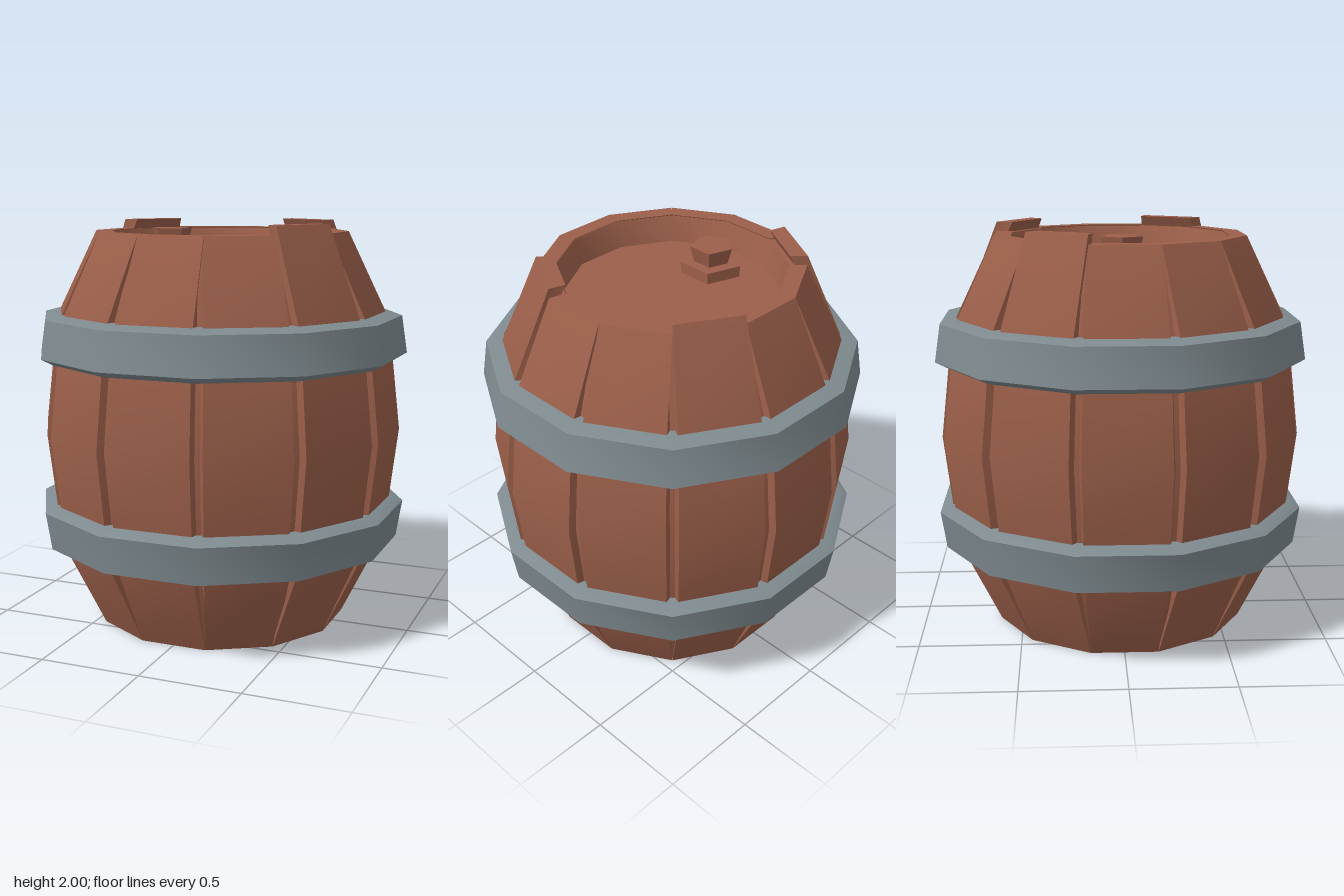
import * as THREE from 'three';
import { toCreasedNormals } from 'three/addons/utils/BufferGeometryUtils.js';

const SIDES = 12;
const STEP = (Math.PI * 2) / SIDES;
const TAN = Math.tan(STEP / 2);
const COS = Math.cos(STEP / 2);
const CREASE = 0.6;

// twelve-sided ring; profile holds [distance to flat side, y] pairs
function polygonLathe(profile) {
  const points = profile.map(([d, y]) => new THREE.Vector2(d / COS, y));
  const geo = new THREE.LatheGeometry(points, SIDES);
  geo.rotateY(STEP / 2);
  return toCreasedNormals(geo, CREASE);
}

// one curved plank facing +z, lofted through four-cornered sections
function staveGeometry(top) {
  // [y, outer distance, outer half width, inner distance]
  const rows = [
    [0, 0.612, 0.163, 0.53],
    [0.39, 0.8, 0.19, 0.74],
    [0.63, 0.84, 0.197, 0.78],
    [0.98, 0.88, 0.205, 0.82],
    [1.33, 0.84, 0.197, 0.78],
    [1.56, 0.8, 0.19, 0.74],
    [top, 0.61, 0.163, 0.53],
  ];
  const positions = [];
  const index = [];
  rows.forEach(([y, outer, half, inner], i) => {
    const innerHalf = inner * TAN;
    positions.push(-half, y, outer, half, y, outer, innerHalf, y, inner, -innerHalf, y, inner);
    if (i === rows.length - 1) return;
    for (let j = 0; j < 4; j++) {
      const a = i * 4 + j;
      const b = i * 4 + ((j + 1) % 4);
      index.push(a, b, b + 4, a, b + 4, a + 4);
    }
  });
  const t = (rows.length - 1) * 4;
  index.push(t, t + 1, t + 2, t, t + 2, t + 3, 0, 2, 1, 0, 3, 2);
  const geo = new THREE.BufferGeometry();
  geo.setAttribute('position', new THREE.Float32BufferAttribute(positions, 3));
  geo.setIndex(index);
  return toCreasedNormals(geo, CREASE);
}

export function createModel() {
  const wood = new THREE.MeshStandardMaterial({ color: 0x9b5f4a });
  wood.name = 'brown wood';
  const iron = new THREE.MeshStandardMaterial({ color: 0x7f8b90 });
  iron.name = 'grey iron';

  const barrel = new THREE.Group();
  barrel.name = 'barrel';
  const add = (name, geo, mat, parent = barrel) => {
    const mesh = new THREE.Mesh(geo, mat);
    mesh.name = name;
    parent.add(mesh);
    return mesh;
  };

  // inner body: recessed lid and bottom, plus the floor of the grooves
  add('body', polygonLathe([
    [0, 0.13], [0.49, 0.13], [0.53, 0.002], [0.6, 0.002],
    [0.765, 0.39], [0.805, 0.63], [0.845, 0.98], [0.805, 1.33], [0.765, 1.56],
    [0.6, 1.95], [0.53, 1.95], [0.49, 1.83], [0, 1.83],
  ]), wood);

  // staves, three of them standing slightly proud of the rim
  const staves = new THREE.Group();
  staves.name = 'staves';
  barrel.add(staves);
  const normalStave = staveGeometry(1.955);
  const tallStave = staveGeometry(2);
  for (let k = 0; k < SIDES; k++) {
    const tall = k % 3 === 2 && k < 9;
    add(tall ? 'tallStave' : 'stave', tall ? tallStave : normalStave, wood, staves).rotation.y = k * STEP;
  }

  // hoops, mirrored about the middle
  const hoop = [[0.76, 1.33], [0.845, 1.33], [0.9, 1.36], [0.872, 1.545], [0.79, 1.567], [0.74, 1.567]];
  add('upperHoop', polygonLathe(hoop), iron);
  add('lowerHoop', polygonLathe(hoop.map(([d, y]) => [d, 1.96 - y]).reverse()), iron);

  // five-sided stopper on the lid
  const plug = new THREE.Group();
  plug.name = 'plug';
  plug.position.set(-0.27, 1.83, 0);
  plug.rotation.y = -Math.PI / 2;
  barrel.add(plug);
  const pentagon = (rTop, rBottom, h) => toCreasedNormals(new THREE.CylinderGeometry(rTop, rBottom, h, 5), CREASE);
  add('plugBase', pentagon(0.15, 0.15, 0.055), wood, plug).position.y = 0.0275;
  add('plugHead', pentagon(0.106, 0.085, 0.08), wood, plug).position.y = 0.095;

  return barrel;
}
